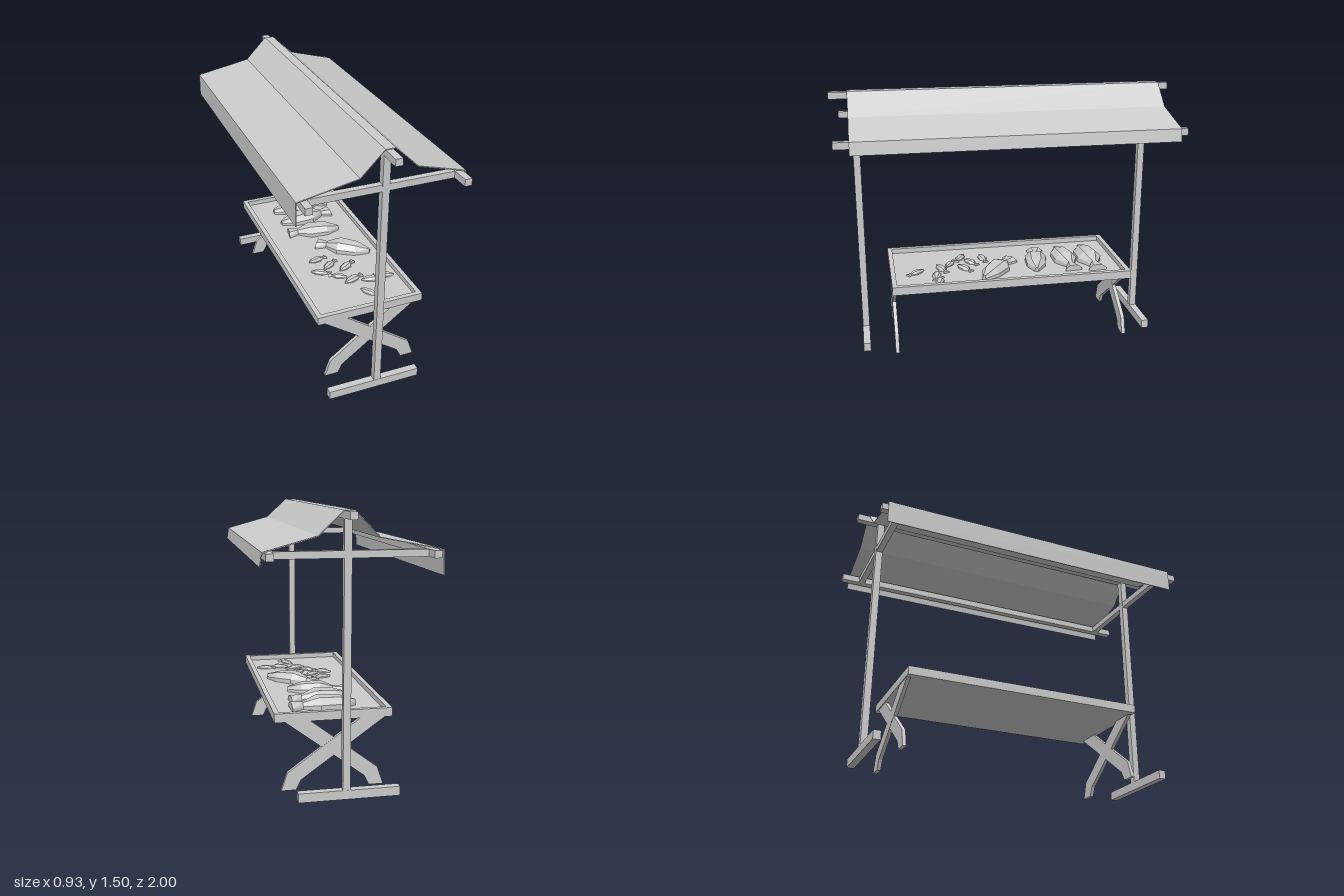
import * as THREE from 'three';

const mat = new THREE.MeshStandardMaterial({ color: 0xcccccc, flatShading: true, side: THREE.DoubleSide });

// Box given by its min and max on each axis
function box(parent, name, [x0, x1], [y0, y1], [z0, z1]) {
  const m = new THREE.Mesh(new THREE.BoxGeometry(x1 - x0, y1 - y0, z1 - z0), mat);
  m.position.set((x0 + x1) / 2, (y0 + y1) / 2, (z0 + z1) / 2);
  m.name = name;
  parent.add(m);
}

// Outline in x/y extruded from z0 to z1
function slab(parent, name, pts, z0, z1) {
  const shape = new THREE.Shape(pts.map(([x, y]) => new THREE.Vector2(x, y)));
  const m = new THREE.Mesh(new THREE.ExtrudeGeometry(shape, { depth: z1 - z0, bevelEnabled: false }), mat);
  m.position.z = z0;
  m.name = name;
  parent.add(m);
}

// Faceted fish, unit length along x from head to tail: [along, half width, height]
function fishGeometry() {
  const stations = [[-0.5, 0.03, 0.09], [-0.25, 0.17, 0.16], [0.08, 0.2, 0.18], [0.32, 0.06, 0.1], [0.5, 0.15, 0.1]];
  const pos = [], idx = [], n = 6;
  for (const [u, w, h] of stations) {
    const ring = [[-w, 0], [-w, h * 0.45], [-w * 0.5, h], [w * 0.5, h], [w, h * 0.45], [w, 0]];
    for (const [z, y] of ring) pos.push(u, y, z);
  }
  for (let s = 0; s < stations.length - 1; s++) {
    for (let i = 0; i < n; i++) {
      const a = s * n + i, b = s * n + (i + 1) % n;
      idx.push(a, a + n, b, b, a + n, b + n);
    }
  }
  const last = (stations.length - 1) * n;
  for (let i = 1; i < n - 1; i++) {
    idx.push(0, i, i + 1);
    idx.push(last, last + i + 1, last + i);
  }
  const g = new THREE.BufferGeometry();
  g.setAttribute('position', new THREE.Float32BufferAttribute(pos, 3));
  g.setIndex(idx);
  const flat = g.toNonIndexed();
  flat.computeVertexNormals();
  return flat;
}

export function createModel() {
  const root = new THREE.Group();
  root.name = 'marketStall';

  // Posts, feet and roof crossbars
  const frame = new THREE.Group();
  frame.name = 'frame';
  root.add(frame);
  for (const z of [0.86, -0.857]) {
    box(frame, 'post', [-0.005, 0.035], [0.01, 1.47], [z - 0.02, z + 0.02]);
    box(frame, 'postFoot', [-0.275, 0.272], [0.005, 0.055], [z - 0.021, z + 0.021]);
    box(frame, 'crossbar', [-0.44, 0.44], [1.27, 1.308], [z - 0.018, z + 0.018]);
  }
  box(frame, 'ridgeBeam', [-0.004, 0.036], [1.465, 1.504], [-1, 1]);
  box(frame, 'eaveBeam', [-0.442, -0.402], [1.27, 1.309], [-0.965, 0.96]);
  box(frame, 'eaveBeam', [0.4, 0.44], [1.27, 1.309], [-0.98, 0.98]);

  // Thin cloth canopy with hanging flaps
  const cloth = [[-0.467, 1.18], [-0.464, 1.312], [-0.135, 1.377], [-0.006, 1.509],
    [0.05, 1.509], [0.18, 1.387], [0.454, 1.312], [0.465, 1.24]];
  const under = cloth.map(([x, y], i) => [x * 0.989, i % 7 ? y - 0.005 : y]).reverse();
  slab(root, 'canopy', [...cloth, ...under], -0.935, 0.895);

  // Shallow tray table
  const table = new THREE.Group();
  table.name = 'table';
  root.add(table);
  const [x0, x1, z0, z1, rim] = [-0.275, 0.37, -0.713, 0.702, 0.028];
  box(table, 'trayFloor', [x0 + rim, x1 - rim], [0.391, 0.41], [z0 + rim, z1 - rim]);
  box(table, 'trayRim', [x0, x0 + rim], [0.391, 0.44], [z0, z1]);
  box(table, 'trayRim', [x1 - rim, x1], [0.391, 0.44], [z0, z1]);
  box(table, 'trayRim', [x0 + rim, x1 - rim], [0.391, 0.44], [z0, z0 + rim]);
  box(table, 'trayRim', [x0 + rim, x1 - rim], [0.391, 0.44], [z1 - rim, z1]);

  // Crossed legs with bent feet
  const leg = [[-0.238, 0.392], [-0.1, 0.392], [0.302, 0.107], [0.335, 0.008], [0.255, 0.008], [0.228, 0.063]];
  const mirrored = leg.map(([x, y]) => [(y > 0.2 ? 0.078 : 0.106) - x, y]);
  for (const z of [0.686, -0.697]) {
    slab(table, 'crossLeg', leg, z - 0.011, z + 0.011);
    slab(table, 'crossLeg', mirrored, z - 0.01, z + 0.01);
  }

  // Fish on the tray: [x, z, turn, length]
  const fish = fishGeometry();
  const catchOfDay = [
    [0.07, -0.53, 0.06, 0.37], [0.06, -0.38, 0.1, 0.35], [0.05, -0.2, 2.97, 0.33], [0.15, 0.06, 2.5, 0.34],
    [-0.05, 0.12, 0.2, 0.12], [-0.08, 0.26, -0.5, 0.12], [0.0, 0.2, 0.6, 0.12], [0.09, 0.25, 0.55, 0.13],
    [0.0, 0.33, 2.6, 0.11], [0.075, 0.39, 0.35, 0.13], [0.18, 0.43, -0.2, 0.13], [0.26, 0.42, 2.9, 0.12],
    [0.11, 0.55, -0.95, 0.12],
  ];
  for (const [x, z, turn, size] of catchOfDay) {
    const m = new THREE.Mesh(fish, mat);
    m.name = size > 0.2 ? 'largeFish' : 'smallFish';
    m.position.set(x, 0.409, z);
    m.rotation.y = turn;
    m.scale.setScalar(size);
    root.add(m);
  }
  return root;
}
